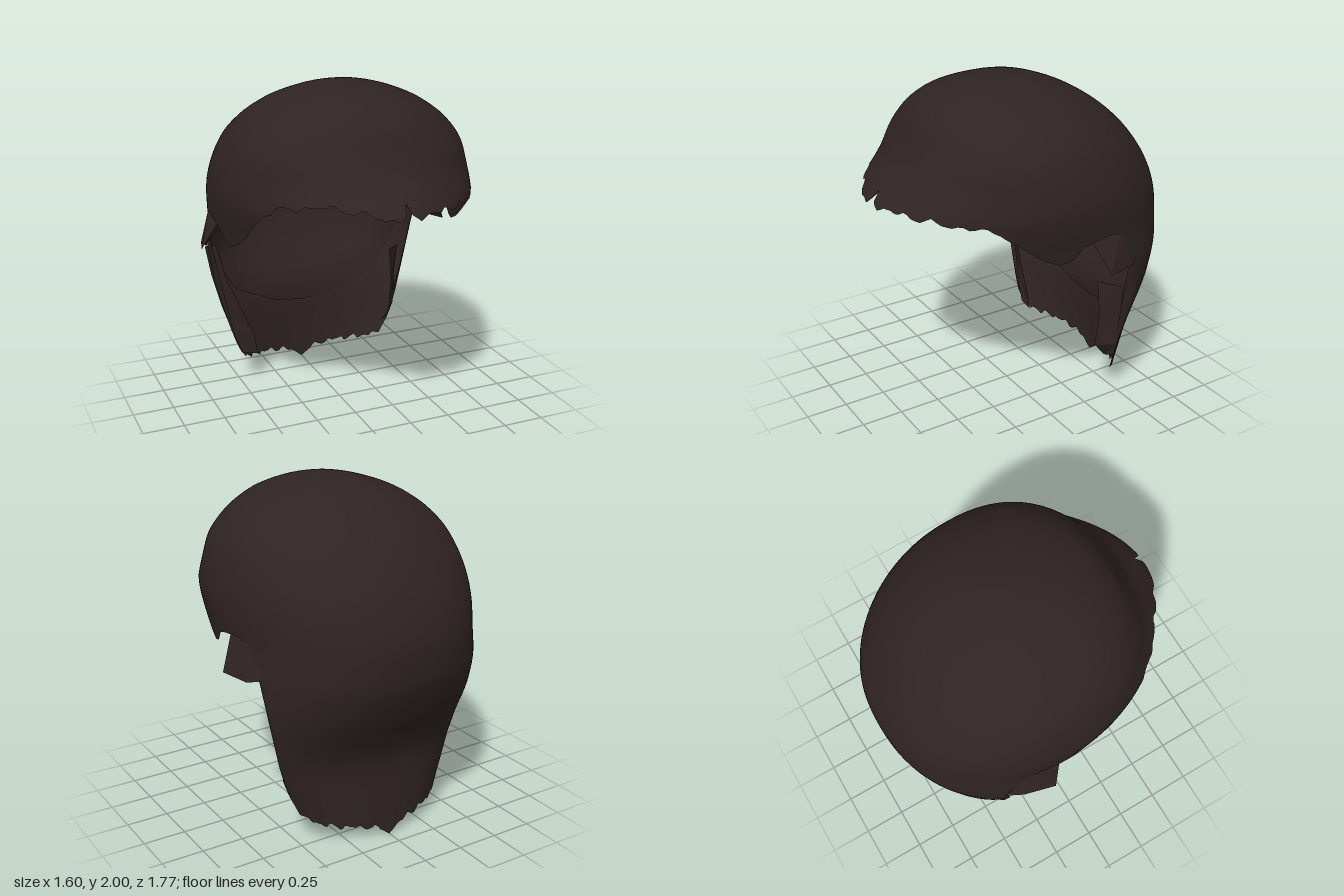
import * as THREE from 'three';
import { mergeVertices } from 'three/addons/utils/BufferGeometryUtils.js';

const DEG = Math.PI / 180;

// Linear lookup through [key, value] pairs with ascending keys
function lookup(pairs, k) {
  const n = pairs.length;
  if (k <= pairs[0][0]) return pairs[0][1];
  if (k >= pairs[n - 1][0]) return pairs[n - 1][1];
  let i = 0;
  while (pairs[i + 1][0] < k) i++;
  const [a, va] = pairs[i], [b, vb] = pairs[i + 1];
  return va + (vb - va) * (k - a) / (b - a);
}

// Sizes by height, keyed by sqrt(2 - y) so the dome stays round, slightly smoothed
const byHeight = rows => {
  const r = rows.map(([y, v]) => [Math.sqrt(2 - y), v]);
  return y => {
    const q = Math.sqrt(Math.max(0, 2 - y)), e = Math.min(0.03, q);
    return (lookup(r, q - e) + 2 * lookup(r, q) + lookup(r, q + e)) / 4;
  };
};
const halfWidth = byHeight([[2, 0], [1.98, 0.18], [1.9, 0.42], [1.8, 0.57], [1.7, 0.662], [1.6, 0.71],
  [1.5, 0.74], [1.4, 0.757], [1.3, 0.75], [1.2, 0.735], [1, 0.725], [0.8, 0.705], [0.6, 0.655], [0.4, 0.6], [0.2, 0.525], [0, 0.46]]);
const frontZ = byHeight([[2, 0.05], [1.98, 0.26], [1.9, 0.47], [1.8, 0.57], [1.7, 0.625], [1.6, 0.69],
  [1.54, 0.74], [1.48, 0.82], [1.41, 0.895], [1.3, 0.88], [1.1, 0.83], [0, 0.8]]);
const backZ = byHeight([[2, 0.05], [1.98, -0.14], [1.94, -0.26], [1.9, -0.36], [1.8, -0.52], [1.7, -0.635], [1.6, -0.72],
  [1.5, -0.79], [1.4, -0.84], [1.3, -0.875], [1.2, -0.89], [1, -0.878], [0.8, -0.8], [0.7, -0.74], [0.6, -0.685], [0.48, -0.64], [0, -0.655]]);
const centreZ = byHeight([[2, 0.05], [1.7, 0.02], [1.4, 0], [1.2, -0.08], [1, -0.22], [0.8, -0.28], [0.6, -0.31], [0, -0.31]]);

// Lower edges of the hair and its lining by angle from the front (0) to the back (180)
const HEM = [[0, 1.41], [25, 1.41], [40, 1.39], [53, 1.375], [58, 1.34], [63, 1.27], [69, 1.16], [74, 1.11], [79, 1.13],
  [85, 1.19], [92, 1.22], [100, 1.23], [104, 1.2], [106, 1.08], [108, 0.28], [112, 0.19], [118, 0.15], [132, 0.12], [150, 0.1],
  [165, 0.08], [174, 0.05], [180, 0]];
const LINING = [[0, 0], [100, 1.27], [107, 1.2], [115, 0.95], [124, 0.75], [134, 0.58], [150, 0.51], [165, 0.44], [180, 0.42]];

function hem(t) {
  const a = Math.abs(t);
  let y = lookup(HEM, a);
  if (t < 0 && a > 10 && a < 66) y += 0.065 * Math.sin((a - 10) / 56 * Math.PI);
  if (t === 2) y += 0.05;
  // ragged strand ends
  const jag = 0.011 * Math.sin(t * 0.6) + 0.008 * Math.sin(t * 0.37 + 1) + 0.004 * Math.sin(t * 1.1 + 2);
  return Math.max(0, y + jag * (a < 55 || (a > 108 && a < 176) ? 1 : 0.2));
}
const liningHem = t => Math.max(hem(t) + 0.015, lookup(LINING, Math.abs(t)));

// Point on the head-shaped surface at an angle and height
function shellPoint(t, y) {
  const s = Math.sin(t * DEG), c = Math.cos(t * DEG), zc = centreZ(y);
  // full, rounded dome in front that narrows towards the fringe
  const bend = c < 0 ? 0.91 : 0.89 + 0.2 * THREE.MathUtils.smoothstep(1.7 - y, 0, 0.28);
  const reach = (c < 0 ? backZ(y) : frontZ(y)) - zc;
  return [halfWidth(y) * Math.sign(s) * Math.abs(s) ** bend, y, zc + reach * Math.abs(c) ** bend];
}

// Level rings from the crown down, cut off at an edge, optionally set inward
function shell(edge, inset) {
  const cols = 180, rows = 64, pos = [], room = [], index = [];
  for (let j = 0; j <= rows; j++) {
    for (let i = 0; i < cols; i++) {
      const t = -180 + i * 360 / cols, y = Math.max(edge(t), 2 - 2 * (j / rows) ** 1.6);
      pos.push(...(j ? shellPoint(t, y) : [0, 2, 0.05]));
      room.push(Math.min(1, (y - edge(t)) / 0.15));
    }
  }
  for (let j = 0; j < rows; j++) {
    for (let i = 0; i < cols; i++) {
      const k = (i + 1) % cols, a = j * cols + i, b = a + cols, c = j * cols + k, d = c + cols;
      index.push(a, b, c, c, b, d);
    }
  }
  let g = new THREE.BufferGeometry();
  g.setAttribute('position', new THREE.Float32BufferAttribute(pos, 3));
  g.setAttribute('room', new THREE.Float32BufferAttribute(room, 1));
  g.setIndex(index);
  g = mergeVertices(g);
  g.computeVertexNormals();
  if (inset) {
    const p = g.attributes.position, n = g.attributes.normal;
    for (let v = 0; v < p.count; v++) {
      const d = inset * (0.25 + 0.75 * g.attributes.room.getX(v));
      p.setXYZ(v, p.getX(v) - n.getX(v) * d, p.getY(v) - n.getY(v) * d, p.getZ(v) - n.getZ(v) * d);
    }
    g.computeVertexNormals();
  }
  g.deleteAttribute('room');
  return g;
}

// Strip of quads between two edges made of matching points
function flap(edgeA, edgeB) {
  const g = new THREE.BufferGeometry(), index = [], n = edgeA.length;
  g.setAttribute('position', new THREE.Float32BufferAttribute([...edgeA, ...edgeB].flat(), 3));
  for (let i = 0; i < n - 1; i++) index.push(i, i + 1, n + i, i + 1, n + i + 1, n + i);
  g.setIndex(index);
  const flat = g.toNonIndexed();
  flat.computeVertexNormals();
  return flat;
}

export function createModel() {
  const model = new THREE.Group();
  model.name = 'hair';
  const darkBrown = new THREE.MeshStandardMaterial({ color: 0x2f2323, side: THREE.DoubleSide });
  darkBrown.name = 'dark brown';
  const add = (name, geometry) => {
    const mesh = new THREE.Mesh(geometry, darkBrown);
    mesh.name = name;
    model.add(mesh);
  };

  add('outerHair', shell(hem, 0));
  add('innerLining', shell(liningHem, 0.04));

  // Folded tuft behind each ear opening, hanging lower on the right
  for (const [side, label, low] of [[1, 'left', 1.03], [-1, 'right', 0.95]]) {
    const at = pts => pts.map(([x, y, z]) => [x * side, y, z]);
    add(label + 'EarTuft', flap(
      at([[0.7, 1.22, -0.1], [0.71, 1.24, -0.3], [0.66, 1.18, -0.42], [0.66, 1.18, -0.3], [0.7, 1.22, -0.1]]),
      at([[0.8, 1.02, -0.18], [0.75, 1.01, -0.36], [0.7, low, -0.43], [0.75, 1.03, -0.3], [0.8, 1.02, -0.18]])));
  }

  // Loose locks along the neck edges
  add('leftNeckLock', flap(
    [[0.49, 0.81, -0.32], [0.51, 0.6, -0.33], [0.49, 0.38, -0.32], [0.48, 0.28, -0.4]],
    [[0.6, 0.79, -0.43], [0.58, 0.6, -0.43], [0.57, 0.39, -0.42], [0.54, 0.3, -0.43]]));
  add('rightNeckLock', flap(
    [[-0.64, 0.95, -0.43], [-0.58, 0.72, -0.43], [-0.49, 0.5, -0.42], [-0.41, 0.32, -0.42], [-0.39, 0.18, -0.43]],
    [[-0.71, 0.95, -0.43], [-0.67, 0.75, -0.45], [-0.61, 0.53, -0.45], [-0.56, 0.38, -0.44], [-0.49, 0.2, -0.43]]));
  return model;
}
